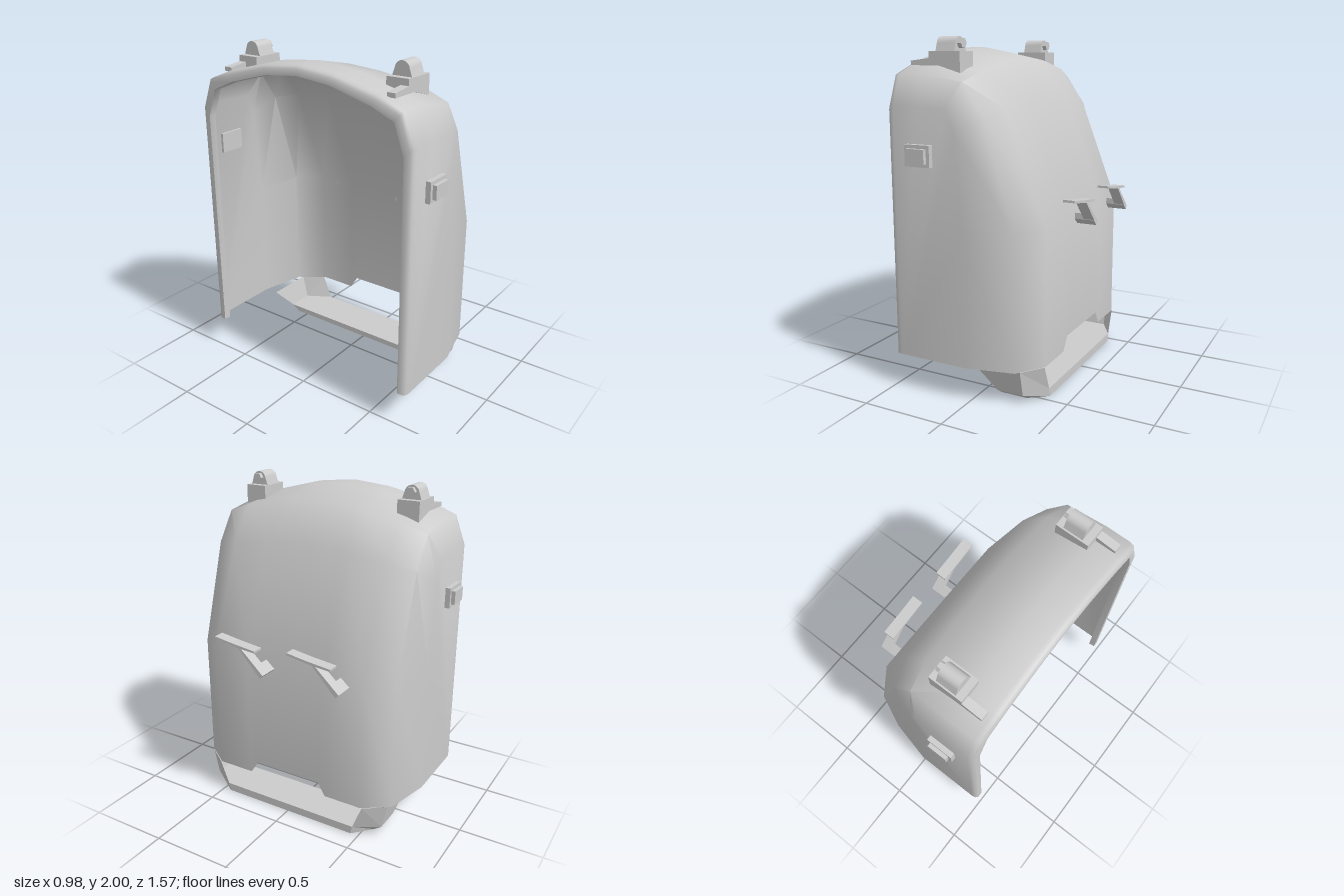
import * as THREE from 'three';
import { toCreasedNormals } from 'three/addons/utils/BufferGeometryUtils.js';

const skin = new THREE.MeshStandardMaterial({ color: 0xcccccc, side: THREE.DoubleSide });
const solid = new THREE.MeshStandardMaterial({ color: 0xcccccc });

function add(parent, name, geometry, material = solid) {
  const mesh = new THREE.Mesh(geometry, material);
  mesh.name = name;
  parent.add(mesh);
  return mesh;
}

// Grid of points (rows of equal length) to a surface, skipping collapsed triangles
function gridSurface(rows, crease) {
  const pos = [];
  const tri = (a, b, c) => {
    if (new THREE.Triangle(a, b, c).getArea() > 1e-7) {
      for (const p of [a, b, c]) pos.push(p.x, p.y, p.z);
    }
  };
  for (let i = 0; i + 1 < rows.length; i++) {
    for (let j = 0; j + 1 < rows[i].length; j++) {
      tri(rows[i][j], rows[i][j + 1], rows[i + 1][j]);
      tri(rows[i][j + 1], rows[i + 1][j + 1], rows[i + 1][j]);
    }
  }
  const g = new THREE.BufferGeometry();
  g.setAttribute('position', new THREE.Float32BufferAttribute(pos, 3));
  return toCreasedNormals(g, crease);
}

const shapeOf = (pts) => new THREE.Shape(pts.map(([a, b]) => new THREE.Vector2(a, b)));

// Outline in (z, y) pushed along x
function extrudeX(pts, x0, x1) {
  const g = new THREE.ExtrudeGeometry(shapeOf(pts.map(([z, y]) => [-z, y])),
    { depth: x1 - x0, bevelEnabled: false });
  return g.rotateY(Math.PI / 2).translate(x0, 0, 0);
}

// Outline in (x, y) pushed along z
function extrudeZ(pts, z0, z1) {
  return new THREE.ExtrudeGeometry(shapeOf(pts), { depth: z1 - z0, bevelEnabled: false })
    .translate(0, 0, z0);
}

function box(x0, x1, y0, y1, z0, z1) {
  return new THREE.BoxGeometry(x1 - x0, y1 - y0, z1 - z0)
    .translate((x0 + x1) / 2, (y0 + y1) / 2, (z0 + z1) / 2);
}

function shellGeometry() {
  // Half columns: z, setback on the front corner, drop on the roof corner
  const half = [[0, 0, 0], [0.22, 0, 0.02], [0.27, 0, 0.03], [0.51, 0, 0.09],
    [0.665, 0.11, 0.15], [0.73, 0.39, 0.32]];
  const cols = [...half.slice(1).reverse().map(([z, s, d]) => [-z, s, d]), ...half];
  // Centre profile, roof to nose: x, y, share of setback, share of drop
  const profile = [[-0.45, 1.95, 0, 1], [-0.3, 1.95, 0, 1], [-0.02, 1.89, 0.25, 0.85],
    [0.13, 1.66, 0.5, 0.5], [0.37, 1.0, 1, 0.1], [0.37, 0.2, 1, 0]];
  // The flat sides fan out from the lower back corners
  const hub = (s) => new THREE.Vector3(-0.45, 0.2, s * 0.73);
  const rows = profile.map(([x, y, a, b], i) => [
    hub(-1),
    ...cols.map(([z, s, d]) => {
      const notch = i === profile.length - 1 && Math.abs(z) < 0.25 ? 0.08 : 0;
      return new THREE.Vector3(x - s * a, y - d * b + notch, z);
    }),
    hub(1),
  ]);
  // Rounded rear rim turned inward: x, inset
  const rim = [[-0.45, 0.06], [-0.49, 0.055], [-0.49, 0.02], [-0.475, 0.005]].map(([x, inset]) =>
    rows[0].map((p) => new THREE.Vector3(x, p.y > 0.3 ? p.y - inset : p.y, p.z * (1 - inset / 0.73))));
  return gridSurface([...rim, ...rows], 0.97);
}

function underFrame() {
  const group = new THREE.Group();
  group.name = 'lowerFrame';
  // Tray outlines: half outline is mirrored to the other side
  const loop = (pts) => [...pts, ...pts.slice().reverse().map(([x, y, z]) => [x, y, -z])]
    .map((p) => new THREE.Vector3(...p));
  const top = loop([[0.12, 0.05, 0.61], [0.28, 0.05, 0.61], [0.37, 0.05, 0.46]]);
  const bottom = loop([[0.12, 0.015, 0.56], [0.28, 0.015, 0.56], [0.37, 0, 0.45]]);
  const fold = (l, flip) => {
    const a = l.slice(0, 3), b = l.slice(3).reverse();
    return flip ? [b, a] : [a, b];
  };
  add(group, 'trayEdge', gridSurface([[...bottom, bottom[0]], [...top, top[0]]], 0.1), skin);
  add(group, 'trayFloor', gridSurface(fold(top), 0.1), skin);
  add(group, 'trayUnderside', gridSurface(fold(bottom, true), 0.1), skin);
  // Bent side brackets joining tray and shell
  for (const s of [1, -1]) {
    const lower = [[0.12, 0.05, 0.61], [0.28, 0.05, 0.61], [0.37, 0.05, 0.46]];
    const upper = [[-0.02, 0.2, 0.645], [0.28, 0.2, 0.645], [0.37, 0.2, 0.52]];
    const rows = [lower, upper].map((r) => r.map(([x, y, z]) => new THREE.Vector3(x, y, z * s)));
    add(group, 'sideBracket', gridSurface(s > 0 ? rows : rows.reverse(), 0.1), skin);
  }
  return group;
}

function wiper(offset) {
  const group = new THREE.Group();
  group.name = 'wiper';
  add(group, 'blade', extrudeX([[0.41, 1.135], [0.28, 1.115], [0.13, 1.097], [0.13, 1.085],
    [0.25, 1.095], [0.41, 1.122]], 0.42, 0.49));
  add(group, 'arm', extrudeX([[0.25, 1.1], [0.225, 1.095], [0.075, 0.957], [0.095, 0.937]], 0.425, 0.49));
  add(group, 'foot', extrudeX([[0.13, 1.005], [0.075, 0.957], [0.095, 0.937], [0.13, 0.97]], 0.37, 0.49));
  group.position.z = offset;
  return group;
}

function roofLamp(s) {
  const group = new THREE.Group();
  group.name = 'roofLamp';
  const span = (a, b) => (s > 0 ? [a, b] : [-b, -a]);
  const cz = s * 0.515;
  add(group, 'base', extrudeZ([[-0.31, 1.845], [-0.25, 1.845], [-0.11, 1.805], [-0.11, 1.92],
    [-0.31, 1.92]], ...span(0.447, 0.582)));
  add(group, 'tail', extrudeZ([[-0.43, 1.845], [-0.3, 1.845], [-0.3, 1.885], [-0.43, 1.87]],
    ...span(0.532, 0.582)));
  // Round-topped housing
  const outline = [[cz - 0.06, 1.915]];
  for (let i = 0; i <= 10; i++) {
    const a = Math.PI * (0.95 - 0.09 * i);
    outline.push([cz + 0.045 * Math.cos(a), 1.955 + 0.045 * Math.sin(a)]);
  }
  outline.push([cz + 0.06, 1.915]);
  add(group, 'housing', toCreasedNormals(extrudeX(outline, -0.27, -0.15), 0.6));
  const knob = new THREE.CylinderGeometry(0.029, 0.029, 0.03, 6).toNonIndexed();
  knob.computeVertexNormals();
  add(group, 'hexKnob', knob.rotateZ(Math.PI / 2).translate(-0.14, 1.963, cz));
  return group;
}

export function createModel() {
  const model = new THREE.Group();
  model.name = 'cabNose';
  add(model, 'shell', shellGeometry(), skin);
  model.add(underFrame(), wiper(0), wiper(-0.5));
  for (const s of [1, -1]) {
    model.add(roofLamp(s));
    // Marker on each side wall
    const marker = new THREE.Group();
    marker.name = 'sideMarker';
    add(marker, 'plate', box(-0.36, -0.2, 1.31, 1.43, 0.715, 0.76));
    add(marker, 'lens', box(-0.34, -0.22, 1.33, 1.41, 0.75, 0.783));
    if (s < 0) marker.children.forEach((m) => m.geometry.rotateY(Math.PI).translate(-0.56, 0, 0));
    model.add(marker);
  }
  return model;
}
